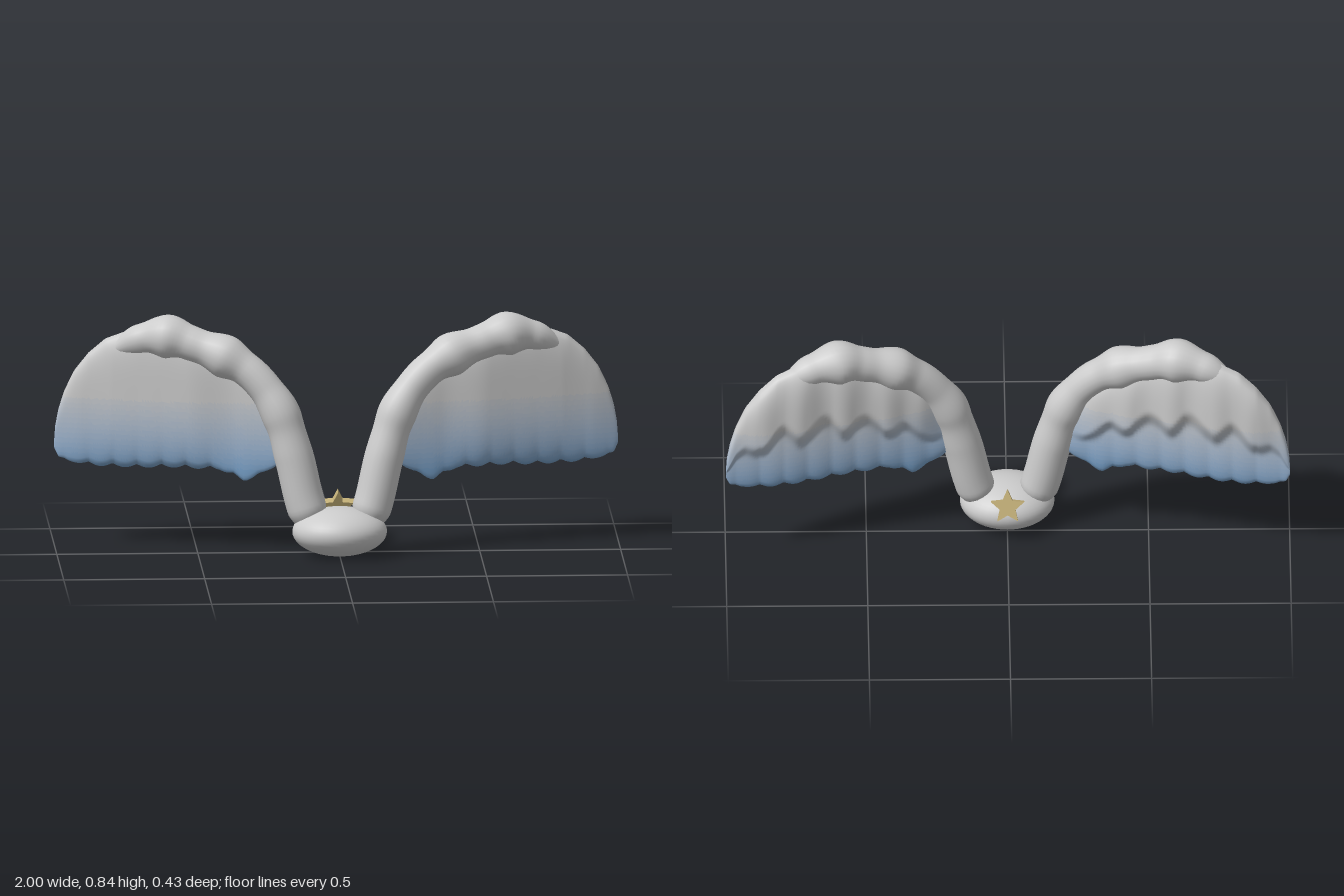
import * as THREE from 'three';

const { lerp, smoothstep, clamp } = THREE.MathUtils;
const grey = () => new THREE.MeshStandardMaterial({ color: 0xcccccc });

// Value at x in a short table of [x, value]; eased steps give rounded swellings
function at(table, x, ease = false) {
  let i = 0;
  while (i < table.length - 2 && x > table[i + 1][0]) i++;
  const [x0, a] = table[i], [x1, b] = table[i + 1];
  const t = clamp((x - x0) / (x1 - x0), 0, 1);
  return lerp(a, b, ease ? t * t * (3 - 2 * t) : t);
}

// The wings sweep back from the base and level off at the tips
const sweep = (x) => 0.08 - 0.29 * x + 0.015 * smoothstep(x, 0.75, 1);

// Arm: a tube whose radius swells at the joints and sinks into the feathers past the wrist
const armRadius = [[0.085, 0.03], [0.116, 0.07], [0.16, 0.07], [0.185, 0.066], [0.205, 0.07], [0.26, 0.06],
  [0.33, 0.06], [0.4, 0.077], [0.48, 0.062], [0.53, 0.064], [0.6, 0.08], [0.69, 0.056], [0.84, 0.01]];
function makeArm() {
  const path = [[0.085, 0.07], [0.125, 0.2], [0.16, 0.35], [0.215, 0.52], [0.3, 0.635], [0.4, 0.7],
    [0.5, 0.735], [0.6, 0.762], [0.7, 0.748], [0.84, 0.68]];
  const curve = new THREE.CatmullRomCurve3(path.map(([x, y]) => new THREE.Vector3(x, y, sweep(x))));
  const n = 90, sides = 20;
  const geo = new THREE.TubeGeometry(curve, n, 1, sides);
  const pos = geo.attributes.position, p = new THREE.Vector3();
  for (let i = 0; i <= n; i++) {
    const c = curve.getPointAt(i / n), r = at(armRadius, c.x, true);
    for (let j = 0; j <= sides; j++) {
      const k = i * (sides + 1) + j;
      p.fromBufferAttribute(pos, k).sub(c).multiplyScalar(r).add(c);
      pos.setXYZ(k, p.x, p.y, p.z);
    }
  }
  // Smooth normals, averaged over the seam of each ring
  geo.computeVertexNormals();
  const nor = geo.attributes.normal, q = new THREE.Vector3();
  for (let i = 0; i <= n; i++) {
    const a = i * (sides + 1), b = a + sides;
    p.fromBufferAttribute(nor, a).add(q.fromBufferAttribute(nor, b)).normalize();
    nor.setXYZ(a, p.x, p.y, p.z);
    nor.setXYZ(b, p.x, p.y, p.z);
  }
  const mesh = new THREE.Mesh(geo, grey());
  mesh.name = 'wingArm';
  return mesh;
}

// Feathers: closed cross-sections from root to tip, thicker in the covert layer on the back
const topEdge = [[0.19, 0.45], [0.3, 0.62], [0.4, 0.7], [0.5, 0.75], [0.6, 0.79], [0.7, 0.79], [0.76, 0.772],
  [0.82, 0.748], [0.88, 0.695], [0.93, 0.63], [0.965, 0.555], [0.985, 0.49], [0.996, 0.43], [1, 0.375]];
const bottomEdge = [[0.19, 0.34], [0.25, 0.312], [0.29, 0.283], [0.335, 0.268], [0.38, 0.288], [0.42, 0.305],
  [0.6, 0.306], [0.7, 0.3], [0.85, 0.3], [0.95, 0.308], [0.985, 0.32], [1, 0.35]];
const frontBulge = [[0.19, 0.012], [0.36, 0.014], [0.54, 0.042], [0.75, 0.042], [0.9, 0.034], [1, 0.026]];
function makeFeathers() {
  const cols = 90, half = 40, ring = half * 2, positions = [];
  for (let i = 0; i <= cols; i++) {
    const x = 0.19 + 0.81 * (1 - Math.pow(1 - i / cols, 1.4));
    const feather = Math.abs(Math.sin(Math.PI * (x - 0.2) / 0.085));
    const lobe = Math.sin(Math.PI * (x - 0.2) / 0.15) ** 2;
    const tipFade = Math.sqrt(clamp((1 - x) / 0.2, 0, 1));
    const top = at(topEdge, x), bottom = at(bottomEdge, x) - 0.014 * feather * tipFade;
    const front = at(frontBulge, x, true);
    const covertEnd = 0.5 + 0.12 * lobe;
    for (let k = 0; k < ring; k++) {
      const back = k > half, v = back ? 2 - k / half : k / half;
      const round = Math.sqrt(Math.max(0, 1 - Math.pow(Math.abs(2 * v - 1), 4)));
      let t = front * (1 - 0.3 * v);
      if (back) {
        const covert = 1 - smoothstep(v, covertEnd - 0.1, covertEnd + 0.08);
        t = 0.02 + 0.004 * feather * v + covert * (0.03 + 0.012 * lobe) * smoothstep(x, 0.2, 0.35);
      }
      t *= round * lerp(0.12, 1, tipFade);
      positions.push(x, lerp(top, bottom, v), sweep(x) + (back ? -t : t));
    }
  }

  // Faces are gathered by height, so the colour fades to blue at the feather ends
  const bands = 16, high = 0.57, low = 0.28;
  const buckets = Array.from({ length: bands }, () => []);
  const face = (...tri) => {
    const y = (positions[tri[0] * 3 + 1] + positions[tri[1] * 3 + 1] + positions[tri[2] * 3 + 1]) / 3;
    buckets[clamp(Math.floor((high - y) / (high - low) * bands), 0, bands - 1)].push(...tri);
  };
  for (let i = 0; i < cols; i++) {
    for (let k = 0; k < ring; k++) {
      const a = i * ring + k, b = i * ring + (k + 1) % ring;
      face(a, b, a + ring);
      face(b, b + ring, a + ring);
    }
  }
  const geo = new THREE.BufferGeometry();
  geo.setAttribute('position', new THREE.Float32BufferAttribute(positions, 3));
  geo.setIndex(buckets.flat());
  geo.computeVertexNormals();
  let start = 0;
  const materials = buckets.map((b, i) => {
    geo.addGroup(start, b.length, i);
    start += b.length;
    const m = grey();
    m.color.lerp(new THREE.Color(0x7ba6d0), i / (bands - 1));
    return m;
  });
  const mesh = new THREE.Mesh(geo, materials);
  mesh.name = 'wingFeathers';
  return mesh;
}

function makeWing(name, side) {
  const wing = new THREE.Group();
  wing.name = name;
  wing.add(makeArm(), makeFeathers());
  wing.scale.x = side;
  return wing;
}

// Five-pointed star, leaning against the back of the base
function makeStar() {
  const points = [];
  for (let i = 0; i < 10; i++) {
    const r = i % 2 ? 0.029 : 0.062, a = Math.PI / 2 + i * Math.PI / 5;
    points.push(new THREE.Vector2(r * Math.cos(a), r * Math.sin(a)));
  }
  const geo = new THREE.ExtrudeGeometry(new THREE.Shape(points), { depth: 0.03, bevelEnabled: false });
  geo.translate(0, 0, -0.015);
  const star = new THREE.Mesh(geo, new THREE.MeshStandardMaterial({ color: 0xc4b078 }));
  star.name = 'star';
  star.position.set(0, 0.151, -0.084);
  star.rotation.x = 0.38;
  return star;
}

export function createModel() {
  const model = new THREE.Group();
  model.name = 'wingedOrnament';

  // Flattened round base
  const base = new THREE.Mesh(new THREE.SphereGeometry(1, 40, 24), grey());
  base.name = 'base';
  base.scale.set(0.168, 0.087, 0.148);
  base.position.set(0, 0.087, 0.069);

  model.add(base, makeWing('leftWing', 1), makeWing('rightWing', -1), makeStar());
  return model;
}
